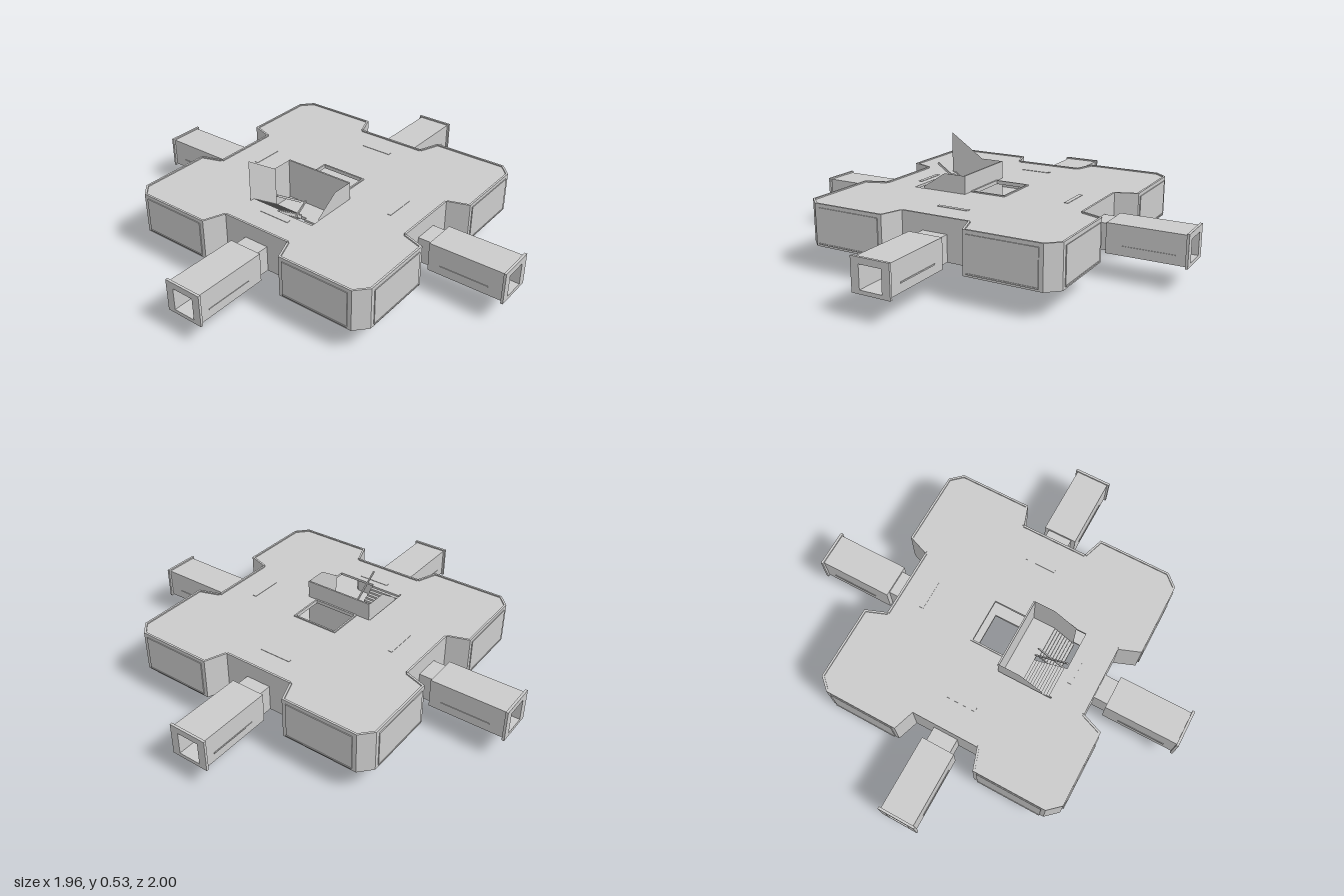
import * as THREE from 'three';

export function createModel() {
  const root = new THREE.Group();
  const grey = new THREE.MeshStandardMaterial({ color: 0xcccccc, flatShading: true });
  const thin = new THREE.MeshStandardMaterial({ color: 0xcccccc, side: THREE.DoubleSide });

  const add = (name, geo, parent = root, mat = grey) => {
    const mesh = new THREE.Mesh(geo, mat);
    mesh.name = name;
    parent.add(mesh);
    return mesh;
  };
  // box given by its limits
  const box = (name, x0, x1, y0, y1, z0, z1, parent = root) => {
    const m = add(name, new THREE.BoxGeometry(x1 - x0, y1 - y0, z1 - z0), parent);
    m.position.set((x0 + x1) / 2, (y0 + y1) / 2, (z0 + z1) / 2);
    return m;
  };
  const poly = pts => new THREE.Shape(pts.map(p => new THREE.Vector2(...p)));
  const rect = (x0, x1, y0, y1) => poly([[x0, y0], [x1, y0], [x1, y1], [x0, y1]]);
  const extrude = (shape, depth) => new THREE.ExtrudeGeometry(shape, { depth, bevelEnabled: false });

  // plan outline: one quadrant, mirrored, then turned half round
  const quad = [[0.53, 0.18], [0.635, 0.22], [0.635, 0.6], [0.575, 0.655], [0.205, 0.655], [0.17, 0.55]];
  const half = [...quad, ...quad.map(([x, z]) => [-x, z]).reverse()];
  const outline = [...half, ...half.map(([x, z]) => [-x, -z])];

  // floor and roof with stairwell and light well
  const slab = (name, top, thickness) => {
    const shape = poly(outline);
    shape.holes.push(rect(-0.36, -0.08, -0.185, 0.18), rect(-0.065, 0.1, -0.105, 0.12));
    const geo = extrude(shape, thickness);
    geo.rotateX(Math.PI / 2);
    add(name, geo).position.y = top;
  };
  slab('floor', 0.137, 0.012);
  slab('roof', 0.322, 0.012);

  // outer walls: doorways in the recessed sides, panels on the long sides
  outline.forEach((a, i) => {
    const b = outline[(i + 1) % outline.length];
    const dx = b[0] - a[0], dz = b[1] - a[1], len = Math.hypot(dx, dz);
    const side = new THREE.Group();
    side.name = 'wallSection';
    side.position.set(a[0], 0, a[1]);
    side.rotation.y = Math.atan2(-dz, dx);
    root.add(side);
    const shape = rect(0, len, 0.125, 0.328);
    if (i % 6 === 5) shape.holes.push(rect(len / 2 - 0.055, len / 2 + 0.055, 0.137, 0.24));
    add('wall', extrude(shape, 0.01), side);
    if (len > 0.36) {
      box('wallPanel', 0.02, len - 0.02, 0.142, 0.31, -0.004, 0.001, side);
      box('panelLedge', 0.02, len - 0.02, 0.136, 0.142, -0.007, 0.001, side);
    }
  });

  // four connecting tunnels
  const tube = (name, w, y0, y1, z0, z1, parent) => {
    const shape = rect(-w, w, y0, y1);
    shape.holes.push(rect(-0.055, 0.055, 0.132, 0.24));
    add(name, extrude(shape, z1 - z0), parent).position.z = z0;
  };
  for (let i = 0; i < 4; i++) {
    const shift = i % 2 ? -0.02 : 0;
    const tunnel = new THREE.Group();
    tunnel.name = 'tunnel';
    tunnel.rotation.y = i * Math.PI / 2;
    tube('tunnelNeck', 0.063, 0.126, 0.252, 0.54 + shift, 0.625 + shift, tunnel);
    tube('tunnelBody', 0.085, 0.12, 0.263, 0.62 + shift, 0.99 + shift, tunnel);
    tube('tunnelEndFrame', 0.095, 0.114, 0.27, 0.988 + shift, 1 + shift, tunnel);
    for (const s of [-1, 1]) box('tunnelSideStrip', s * 0.086 - 0.002, s * 0.086 + 0.002, 0.16, 0.166, 0.68, 0.92, tunnel);
    // roof vent facing each tunnel
    box('roofVent', -0.08, 0.08, 0.32, 0.324, 0.39, 0.41, tunnel);
    root.add(tunnel);
  }

  // raised rim of the light well, on roof and floor
  const rim = (y0, y1) => {
    const shape = rect(-0.073, 0.108, -0.113, 0.128);
    shape.holes.push(rect(-0.065, 0.1, -0.105, 0.12));
    const geo = extrude(shape, y1 - y0);
    geo.rotateX(Math.PI / 2);
    add('wellRim', geo).position.y = y1;
  };
  rim(0.32, 0.328);
  rim(0.124, 0.14);

  // switchback stairs: front flight up to the landing, back flight up to the roof
  const stairs = new THREE.Group();
  stairs.name = 'stairs';
  root.add(stairs);
  const steps = 12, run = 0.17 / steps, rise = 0.115 / steps;
  for (let i = 0; i < steps; i++) {
    const x1 = -0.19 - i * run, up = 0.207 + (i + 1) * rise, down = 0.207 - i * rise;
    box('upperStep', x1 - run, x1, up - 0.02, up, -0.178, -0.02, stairs);
    if (down > 0.13) box('lowerStep', x1 - run, x1, down - 0.02, down, 0.01, 0.175, stairs);
  }
  box('landing', -0.19, -0.08, 0.19, 0.207, -0.178, 0.175, stairs);

  // parapet around the landing
  box('parapetEnd', -0.084, -0.076, 0.13, 0.41, -0.18, 0.178, stairs);
  const parapet = poly([[-0.08, 0.13], [-0.08, 0.41], [-0.19, 0.41], [-0.31, 0.33], [-0.31, 0.13]]);
  for (const z of [-0.18, 0.178]) add('parapetSide', new THREE.ShapeGeometry(parapet), stairs, thin).position.z = z;

  // slanted guard wall beside the upper flight
  const guard = poly([[-0.37, 0.12], [-0.19, 0], [-0.19, 0.41], [-0.37, 0.53]]);
  add('guardWall', new THREE.ShapeGeometry(guard), stairs).position.z = -0.175;

  // handrails along the gap between the flights
  for (const [z, y] of [[-0.021, 0.345], [0.011, 0.24]]) {
    const s = z < 0 ? 1 : -1;
    const rail = box('handrail', -0.1, 0.1, -0.005, 0.005, -0.003, 0.003, stairs);
    rail.position.set(-0.275, y + (s < 0 ? 0.01 : 0), z);
    rail.rotation.z = -s * Math.atan2(0.115, 0.17);
  }
  return root;
}
